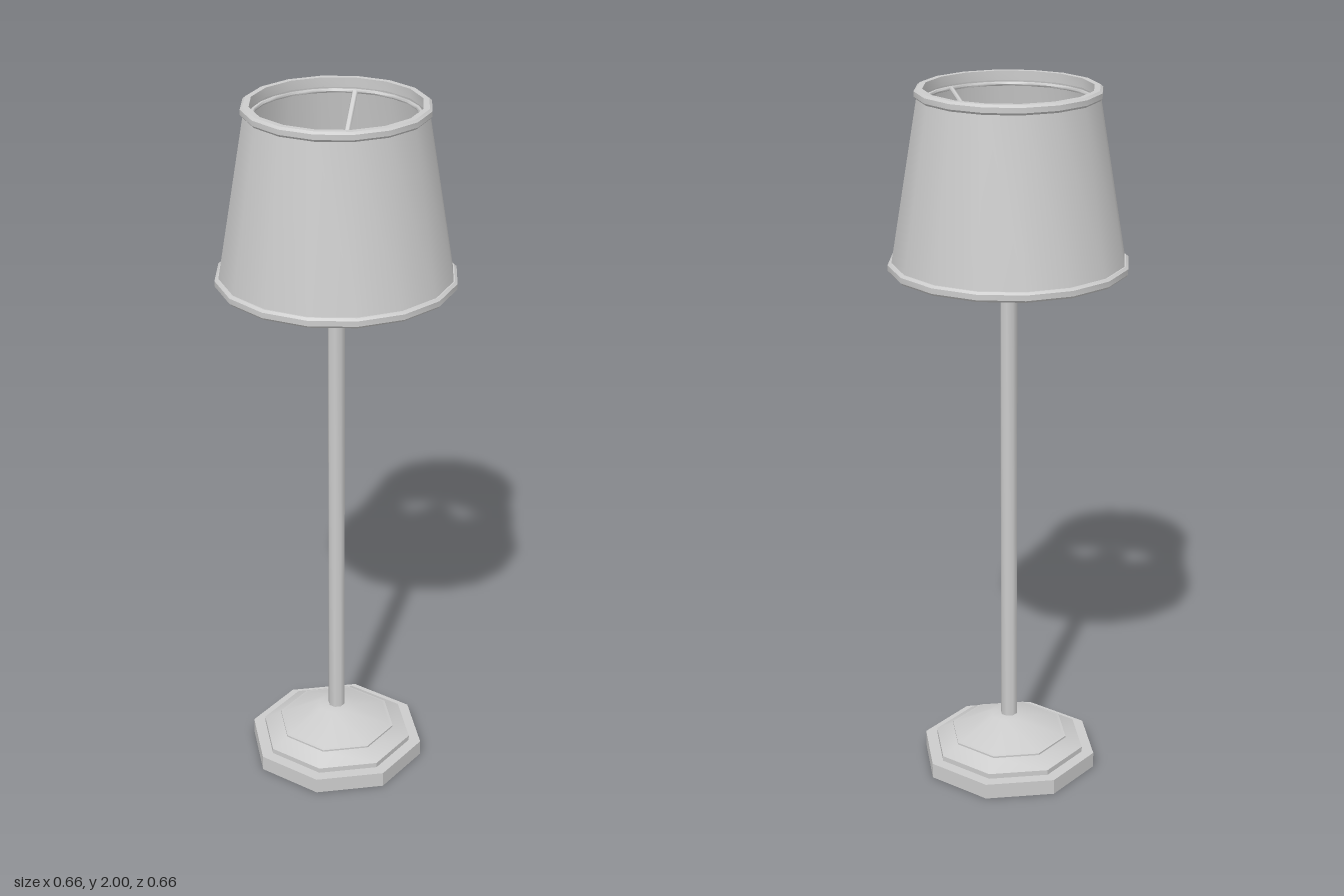
import * as THREE from 'three';
import { toCreasedNormals } from 'three/addons/utils/BufferGeometryUtils.js';

const material = new THREE.MeshStandardMaterial({ color: 0xcccccc, side: THREE.DoubleSide });

export function createModel() {
  const lamp = new THREE.Group();
  lamp.name = 'tableLamp';

  const add = (name, geometry, crease = 0.6) => {
    const mesh = new THREE.Mesh(toCreasedNormals(geometry, crease), material);
    mesh.name = name;
    lamp.add(mesh);
    return mesh;
  };
  // Turned part from [radius, height] pairs, listed bottom to top
  const turn = (name, profile, sides, crease) =>
    add(name, new THREE.LatheGeometry(profile.map(([r, y]) => new THREE.Vector2(r, y)), sides), crease);
  // Straight round bar between two points
  const rod = (name, a, b, radius) =>
    add(name, new THREE.TubeGeometry(new THREE.LineCurve3(a, b), 1, radius, 6), 1.2);

  // Stepped octagonal foot
  turn('base', [
    [0, 0], [0.257, 0], [0.257, 0.045], [0.222, 0.045], [0.222, 0.06],
    [0.172, 0.085], [0.172, 0.09], [0.162, 0.092], [0.055, 0.145], [0, 0.145],
  ], 8);

  // Slender pole
  turn('pole', [[0.024, 0.14], [0.024, 1.47]], 8, 1);

  // Bulb socket with collar and switch
  turn('socket', [
    [0, 1.465], [0.05, 1.465], [0.05, 1.51], [0.043, 1.515], [0.043, 1.61], [0.035, 1.62], [0, 1.62],
  ], 8);
  rod('switchStem', new THREE.Vector3(0, 1.53, 0.03), new THREE.Vector3(0, 1.53, 0.085), 0.007);

  // Bulb
  turn('bulb', [
    [0.034, 1.6], [0.038, 1.63], [0.066, 1.655], [0.079, 1.69],
    [0.072, 1.73], [0.045, 1.757], [0, 1.768],
  ], 12, 1);

  // Harp: one side, mirrored, bowing around the bulb
  for (const side of [-1, 1]) {
    const path = [[0.03, 1.565], [0.075, 1.585], [0.105, 1.64], [0.107, 1.69], [0.085, 1.75], [0.045, 1.785], [0.03, 1.815]]
      .map(([x, y]) => new THREE.Vector3(side * x, y, 0));
    add('harp', new THREE.TubeGeometry(new THREE.CatmullRomCurve3(path), 16, 0.006, 6), 1.2);
  }

  // Cap on the harp
  turn('harpCap', [
    [0, 1.785], [0.052, 1.785], [0.052, 1.8], [0.035, 1.806], [0, 1.81],
  ], 8);

  // Three sloping arms carrying the shade
  for (let i = 0; i < 3; i++) {
    const angle = Math.PI + i * Math.PI * 2 / 3;
    const at = (r, y) => new THREE.Vector3(r * Math.sin(angle), y, r * Math.cos(angle));
    rod('shadeArm', at(0.03, 1.793), at(0.222, 1.965), 0.008);
  }
  const wire = add('shadeWire', new THREE.TorusGeometry(0.224, 0.006, 6, 24), 1.2);
  wire.rotation.x = Math.PI / 2;
  wire.position.y = 1.965;

  // Thin tapered shade, outer and inner wall
  turn('shade', [
    [0.31, 1.515], [0.322, 1.515], [0.243, 1.99], [0.231, 1.99], [0.31, 1.515],
  ], 16);

  // Trim bands along the shade's rims
  const trim = (name, inner, outer, low, high) => turn(name, [
    [inner, low], [outer - 0.005, low], [outer, low + 0.006], [outer, high - 0.006],
    [outer - 0.007, high], [inner, high], [inner, low],
  ], 16);
  trim('bottomTrim', 0.307, 0.33, 1.505, 1.532);
  trim('topTrim', 0.229, 0.252, 1.974, 2);

  return lamp;
}
